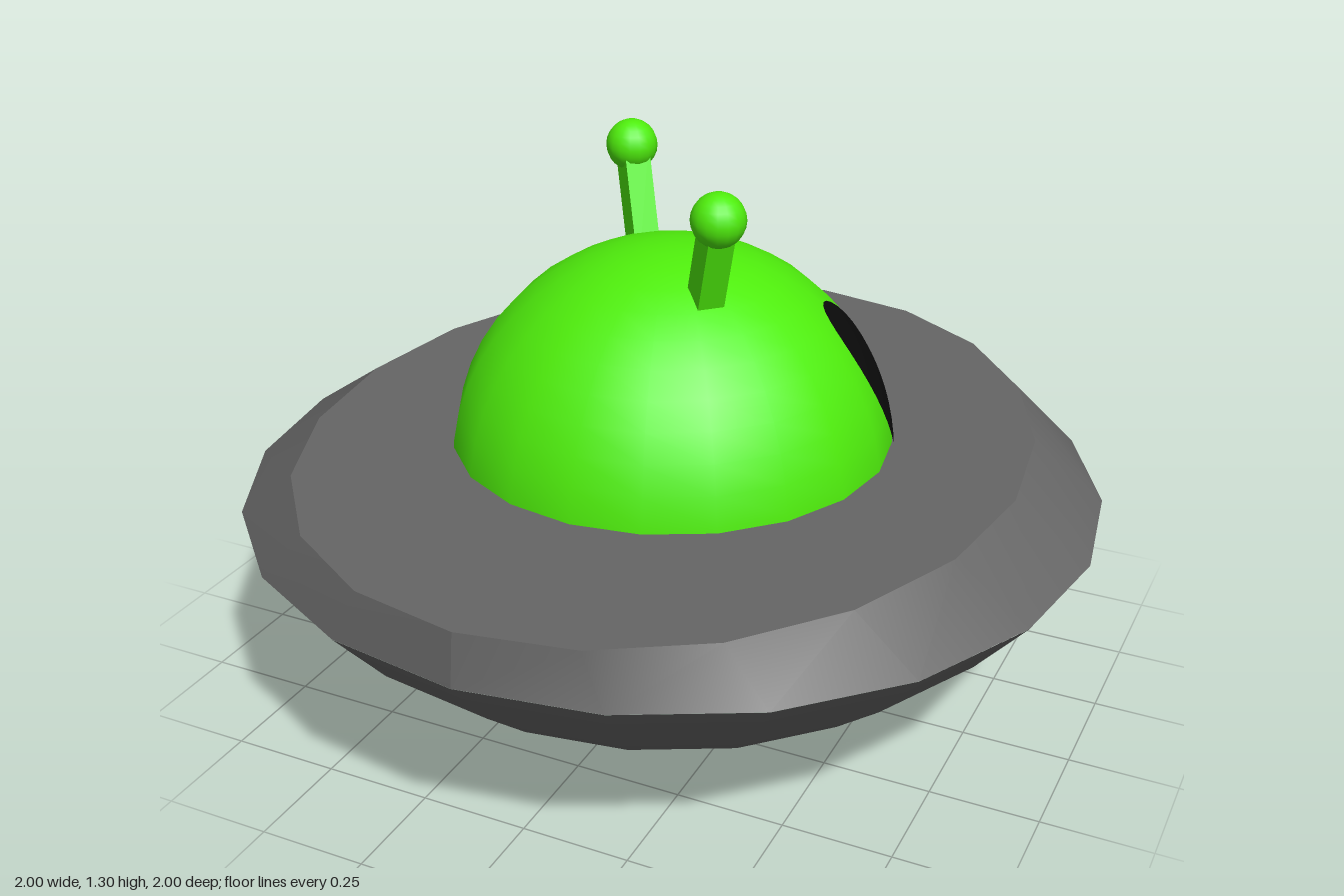
import * as THREE from 'three';

const SIDES = 20;
const RIM_Y = 0.51, DECK_Y = 0.63, DECK_X = 0.825, DECK_Z = 0.985;
const DOME_R = 0.515, DOME_Y = 0.577;
const deg = THREE.MathUtils.degToRad;

const hull = new THREE.MeshStandardMaterial({ color: 0x666666 });
const skin = new THREE.MeshStandardMaterial({ color: 0x4fee0c });
const black = new THREE.MeshStandardMaterial({ color: 0x0a0a0a, side: THREE.DoubleSide });

function part(name, geometry, material, parent) {
  const mesh = new THREE.Mesh(geometry, material);
  mesh.name = name;
  parent.add(mesh);
  return mesh;
}

// Spherical bowl, slanted oval rim and flat deck
function saucer() {
  const group = new THREE.Group();
  group.name = 'saucer';

  const profile = [];
  for (let i = 0; i <= 6; i++) {
    const a = deg(9 * i), r = 1 / Math.sin(deg(54));
    profile.push(new THREE.Vector2(r * Math.sin(a), r * (1 - Math.cos(a))));
  }
  part('bowl', new THREE.LatheGeometry(profile, SIDES), hull, group);

  const rim = new THREE.CylinderGeometry(1, 1, DECK_Y - RIM_Y, SIDES, 1, true);
  rim.translate(0, (RIM_Y + DECK_Y) / 2, 0);
  const p = rim.attributes.position;
  for (let i = 0; i < p.count; i++) {
    if (p.getY(i) > RIM_Y + 0.01) {
      p.setX(i, p.getX(i) * DECK_X);
      p.setZ(i, p.getZ(i) * DECK_Z);
    }
  }
  rim.computeVertexNormals();
  part('rim', rim, hull, group);

  const deck = new THREE.CircleGeometry(1, SIDES);
  deck.rotateX(-Math.PI / 2).scale(DECK_X, 1, DECK_Z).translate(0, DECK_Y, 0);
  part('deck', deck, hull, group);
  return group;
}

// Oval patch laid onto the dome; its local z axis points out of the head
function eyeGeometry(tilt) {
  const geo = new THREE.RingGeometry(0, 1, 32, 6);
  geo.scale(0.109, 0.208, 1).rotateZ(tilt);
  const p = geo.attributes.position, R = DOME_R + 0.003;
  for (let i = 0; i < p.count; i++) {
    const x = p.getX(i), y = p.getY(i);
    p.setZ(i, Math.sqrt(R * R - x * x - y * y));
  }
  geo.computeVertexNormals();
  return geo;
}

// Square stalk leaning outwards with a ball on its end
function antenna() {
  const group = new THREE.Group();
  group.name = 'antenna';
  const base = new THREE.Vector3(0, 0.96, 0.184);
  const tip = new THREE.Vector3(0, 1.24, 0.283);
  const stalk = part('stalk', new THREE.BoxGeometry(0.06, base.distanceTo(tip), 0.07), skin, group);
  stalk.position.lerpVectors(base, tip, 0.5);
  stalk.rotation.x = Math.atan2(tip.z - base.z, tip.y - base.y);
  part('ball', new THREE.SphereGeometry(0.06, 16, 12), skin, group).position.copy(tip);
  return group;
}

export function createModel() {
  const model = new THREE.Group();
  model.name = 'alienInSaucer';
  model.add(saucer());

  // Head: dome rising through the deck
  const head = new THREE.Group();
  head.name = 'head';
  model.add(head);
  const dome = new THREE.SphereGeometry(DOME_R, SIDES, 12, 0, Math.PI * 2, 0, Math.PI / 2);
  part('dome', dome, skin, head).position.y = DOME_Y;

  // Eyes mirrored about the face, which looks along +x -z
  for (const side of [-1, 1]) {
    const eye = part(side < 0 ? 'rightEye' : 'leftEye', eyeGeometry(side * deg(10)), black, head);
    eye.position.y = DOME_Y;
    eye.rotation.order = 'YXZ';
    eye.rotation.set(deg(-25.5), deg(135) - side * deg(23.5), 0);
  }

  // Antennae on opposite sides of the head
  for (const turn of [45, 225]) {
    const a = antenna();
    a.rotation.y = deg(turn);
    head.add(a);
  }
  return model;
}
